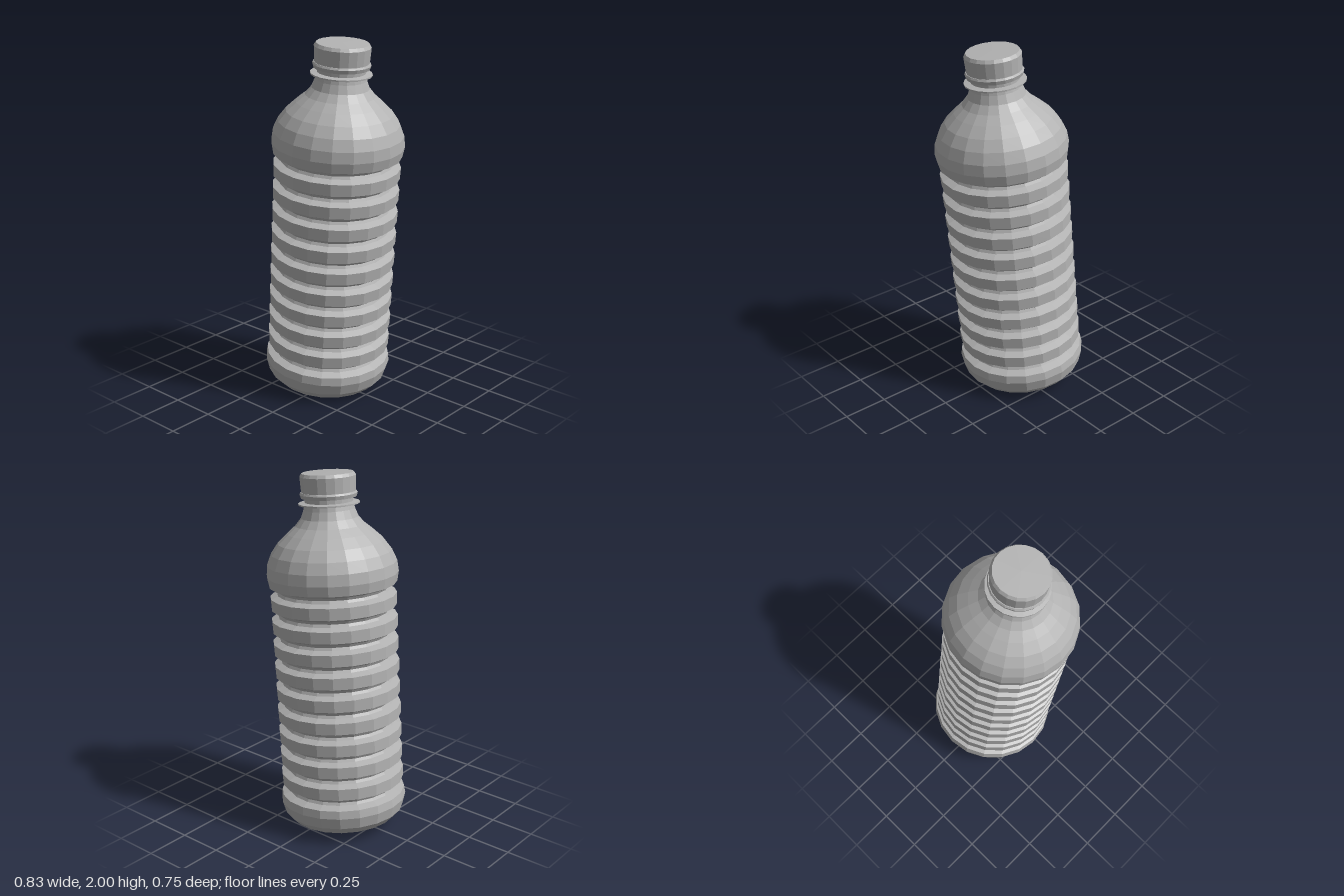
import * as THREE from 'three';

const SIDES = 20;

export function createModel() {
  const model = new THREE.Group();
  model.name = 'bottle';

  const plastic = new THREE.MeshStandardMaterial({ color: 0xb2b2b2 });
  plastic.name = 'grey plastic';
  plastic.flatShading = true;

  // The bottle is built upright, then leaned over
  const leaning = new THREE.Group();
  leaning.name = 'leaningBottle';
  model.add(leaning);

  // Profiles are [radius, height] pairs from bottom to top
  const turned = (name, profile, sides = SIDES) => {
    const points = profile.map(([r, y]) => new THREE.Vector2(r, y));
    const mesh = new THREE.Mesh(new THREE.LatheGeometry(points, sides), plastic);
    mesh.name = name;
    leaning.add(mesh);
  };

  // Rounded base
  const body = [[0, 0], [0.23, 0], [0.295, 0.02], [0.338, 0.065], [0.356, 0.13], [0.35, 0.175]];

  // Ribbed waist: a groove below each of nine ribs, and one below the shoulder
  const ribs = 9, start = 0.175, groove = 0.062;
  const pitch = (1.2 - groove) / ribs;
  for (let i = 0; i <= ribs; i++) {
    const y = start + i * pitch;
    body.push([0.308, y + 0.016], [0.3, y + groove * 0.5], [0.308, y + groove - 0.016]);
    if (i < ribs) body.push([0.345, y + groove], [0.347, y + pitch]);
  }

  // Domed shoulder and neck
  body.push(
    [0.35, 1.375], [0.36, 1.43], [0.353, 1.49], [0.328, 1.55], [0.288, 1.605],
    [0.235, 1.655], [0.188, 1.695], [0.155, 1.735], [0.138, 1.78], [0.13, 1.815], [0.13, 1.87], [0, 1.87]
  );
  turned('body', body);

  // Thin neck flange and tamper band
  turned('neckFlange', [[0.12, 1.803], [0.165, 1.806], [0.165, 1.814], [0.12, 1.82]]);
  turned('tamperBand', [[0.12, 1.842], [0.15, 1.842], [0.156, 1.862], [0.15, 1.872], [0.12, 1.872]]);

  // Screw cap
  turned('cap', [[0, 1.868], [0.146, 1.868], [0.151, 1.955], [0.14, 1.972], [0, 1.974]]);

  const axis = new THREE.Vector3(0.0865, 1, 0.03).normalize();
  leaning.quaternion.setFromUnitVectors(new THREE.Vector3(0, 1, 0), axis);
  leaning.position.set(-0.065, 0.021, -0.018);
  return model;
}
